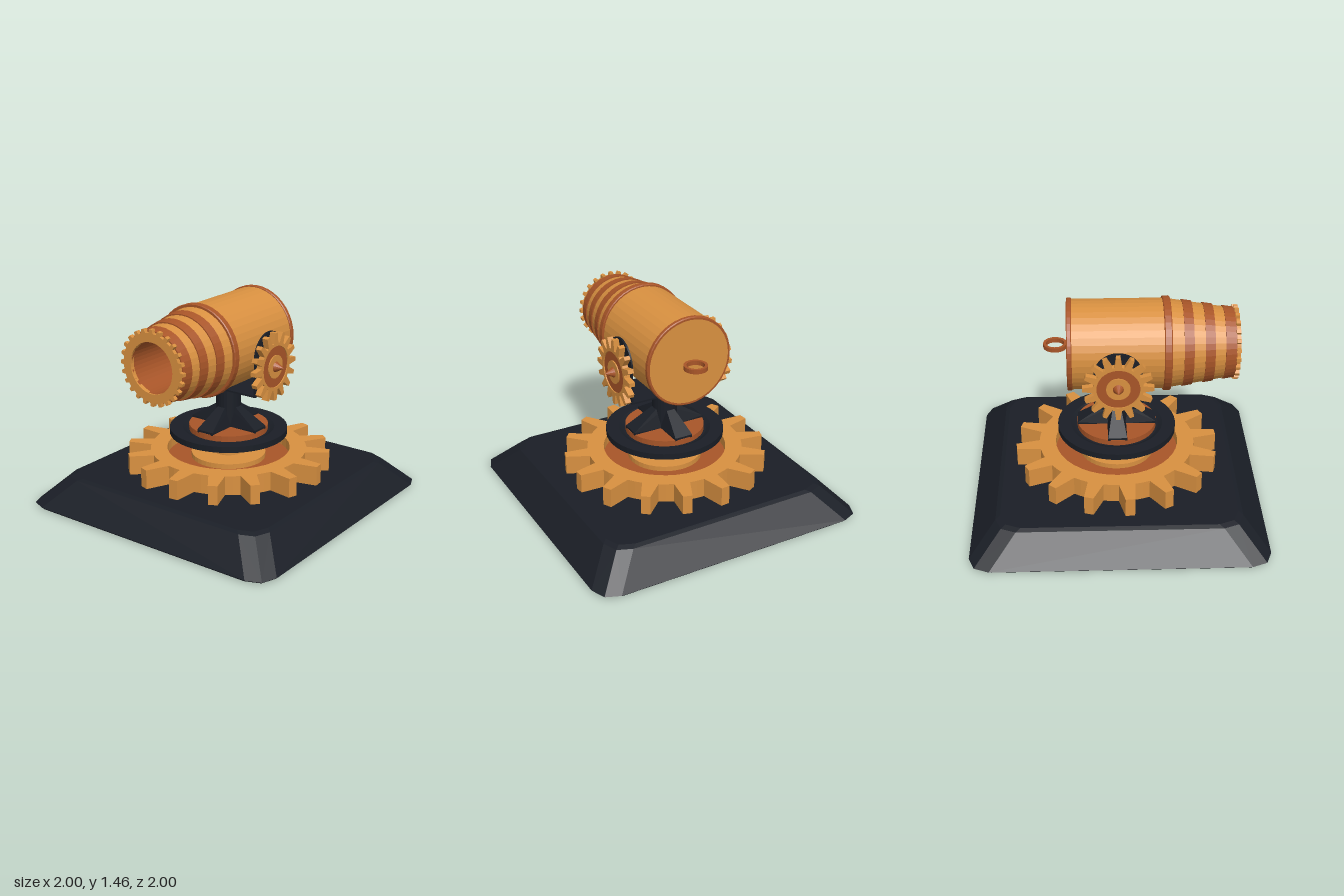
import * as THREE from 'three';
import { ConvexGeometry } from 'three/addons/geometries/ConvexGeometry.js';

const mat = (color, side = THREE.FrontSide) =>
  new THREE.MeshStandardMaterial({ color, side, flatShading: true });
const gold = mat(0xd89040), brown = mat(0xa85528), dark = mat(0x1a1e26);

function add(parent, name, geometry, material) {
  const mesh = new THREE.Mesh(geometry, material);
  mesh.name = name;
  parent.add(mesh);
  return mesh;
}

// Revolved profile of [radius, height] points
const lathe = (pts, seg = 40) =>
  new THREE.LatheGeometry(pts.map(([r, y]) => new THREE.Vector2(r, y)), seg);

// Profile of [radius, x] points revolved about the x axis, listed from rear (+x) to muzzle (-x)
const latheX = (pts, seg = 40) => lathe(pts.map(([r, x]) => [r, -x]), seg).rotateZ(Math.PI / 2);

// Toothed wheel in the xy plane, extruded along +z from 0
function gear({ teeth, outer, root, hole, depth, baseW, tipW, start = 0 }) {
  const shape = new THREE.Shape();
  const step = (Math.PI * 2) / teeth;
  const a0 = Math.asin(baseW / root), a1 = Math.asin(tipW / outer);
  const pts = [];
  for (let i = 0; i < teeth; i++) {
    const a = start + i * step;
    for (const [r, t] of [[root, a - a0], [outer, a - a1], [outer, a + a1], [root, a + a0], [root, a + step / 2]])
      pts.push(new THREE.Vector2(r * Math.cos(t), r * Math.sin(t)));
  }
  shape.setFromPoints(pts);
  shape.holes.push(new THREE.Path().absarc(0, 0, hole, 0, Math.PI * 2, true));
  return new THREE.ExtrudeGeometry(shape, { depth, bevelEnabled: false, curveSegments: 20 });
}

// Sloped square slab with cut corners, skinned from [halfWidth, y] sections
function slab(sections, cut, nick) {
  const points = [];
  for (const [h, y] of sections)
    for (const sx of [-1, 1]) for (const sz of [-1, 1])
      for (const [x, z] of [[h, h - cut], [h - nick, h - nick], [h - cut, h]])
        points.push(new THREE.Vector3(sx * x, y, sz * z));
  return new ConvexGeometry(points);
}

function trunnion() {
  const g = new THREE.Group();
  // Yoke arm with a rounded top
  const s = new THREE.Shape();
  s.moveTo(-0.16, 0.83);
  s.lineTo(0.16, 0.83);
  s.lineTo(0.16, 1.09);
  s.absarc(0, 1.09, 0.16, 0, Math.PI, false);
  s.closePath();
  add(g, 'yokeArm', new THREE.ExtrudeGeometry(s, { depth: 0.012, bevelEnabled: false, curveSegments: 16 }), dark)
    .position.z = 0.325;
  // Side gear, its inset ring, hub and pointed pin
  const wheel = new THREE.Group();
  wheel.name = 'sideGear';
  wheel.position.set(0, 1.015, 0);
  g.add(wheel);
  add(wheel, 'gearRim', gear({ teeth: 16, outer: 0.235, root: 0.165, hole: 0.143, depth: 0.042,
    baseW: 0.024, tipW: 0.014, start: Math.PI / 2 }), gold).position.z = 0.35;
  const disc = (name, r, z0, z1, material) =>
    add(wheel, name, new THREE.CylinderGeometry(r, r, z1 - z0, 32).rotateX(Math.PI / 2), material)
      .position.z = (z0 + z1) / 2;
  disc('gearInset', 0.145, 0.355, 0.384, brown);
  disc('gearHub', 0.08, 0.36, 0.392, gold);
  disc('axle', 0.05, 0.28, 0.36, dark);
  add(wheel, 'pin', new THREE.ConeGeometry(0.037, 0.065, 16).rotateX(Math.PI / 2), brown).position.z = 0.423;
  return g;
}

export function createModel() {
  const model = new THREE.Group();
  model.name = 'cannon';

  // Plinth
  add(model, 'base', slab([[0.985, 0], [1, 0.015], [0.825, 0.2], [0.795, 0.212]], 0.14, 0.04), dark);

  // Big flat gear with recessed floor, hub and neck
  add(model, 'turntableGear', gear({ teeth: 16, outer: 0.708, root: 0.545, hole: 0.43, depth: 0.135,
    baseW: 0.055, tipW: 0.032, start: 0.1 }).rotateX(-Math.PI / 2), gold).position.y = 0.225;
  add(model, 'turntableFloor', lathe([[0, 0.21], [0.432, 0.23], [0.432, 0.29], [0, 0.29]]), brown);
  add(model, 'turntableHub', lathe([[0.26, 0.28], [0.26, 0.325], [0.1, 0.325], [0.1, 0.44]]), gold);

  // Dished collar with inset plate
  add(model, 'collar', lathe([[0, 0.42], [0.1, 0.425], [0.41, 0.47], [0.41, 0.512], [0.32, 0.512],
    [0.29, 0.495], [0, 0.495]], 48), dark);
  add(model, 'collarPlate', lathe([[0.275, 0.49], [0.275, 0.535], [0, 0.535]]), brown);

  // Pedestal with four buttresses
  add(model, 'post', new THREE.CylinderGeometry(0.086, 0.086, 0.31, 24), dark).position.y = 0.675;
  const rib = new ConvexGeometry([-1, 1].flatMap((s) => [
    [0.03, 0.67, 0], [0.03, 0.67, 0.085], [0.065, 0.55, 0.27], [0.065, 0.53, 0.27], [0.065, 0.53, 0],
  ].map(([x, y, z]) => new THREE.Vector3(s * x, y, z))));
  for (let i = 0; i < 4; i++) add(model, 'buttress', rib, dark).rotation.y = (i * Math.PI) / 2;

  // Yoke
  add(model, 'yokeFloor', new THREE.BoxGeometry(0.32, 0.012, 0.67), dark).position.y = 0.834;
  const front = trunnion(), back = trunnion();
  front.name = 'frontTrunnion';
  back.name = 'backTrunnion';
  back.rotation.y = Math.PI;
  model.add(front, back);

  // Barrel, revolved about its own axis
  const barrel = new THREE.Group();
  barrel.name = 'barrel';
  barrel.position.y = 1.138;
  model.add(barrel);
  add(barrel, 'barrelBody', latheX([[0, 0.333], [0.304, 0.333], [0.304, -0.34]]), gold);
  const hoop = (name, r, x0, x1) =>
    add(barrel, name, latheX([[0.295, x1], [r - 0.005, x1], [r, x1 - 0.006], [r, x0 + 0.006],
      [r - 0.005, x0], [0.28, x0]]), brown);
  hoop('rearHoop', 0.313, 0.3, 0.334);
  hoop('middleHoop', 0.318, -0.356, -0.305);
  const taper = (x) => 0.3 + (x + 0.34) * 0.16;
  add(barrel, 'barrelTaper', latheX([[taper(-0.34), -0.34], [taper(-0.785), -0.785]]), gold);
  for (const [x0, x1] of [[-0.785, -0.71], [-0.64, -0.575], [-0.5, -0.435]]) {
    const a = taper(x0), b = taper(x1);
    add(barrel, 'taperBand', latheX([[b - 0.01, x1], [b + 0.008, x1], [a + 0.008, x0], [a - 0.01, x0]]), brown);
  }

  // Muzzle gear and bore
  add(barrel, 'muzzleGear', gear({ teeth: 24, outer: 0.253, root: 0.228, hole: 0.17, depth: 0.03,
    baseW: 0.016, tipW: 0.011 }).rotateY(-Math.PI / 2), gold).position.x = -0.78;
  add(barrel, 'bore', latheX([[0.17, -0.8], [0.17, -0.4], [0, -0.4]]), mat(0xa85528, THREE.DoubleSide));

  // Flat pull ring at the rear
  add(barrel, 'pullRing', lathe([[0.06, -0.015], [0.08, -0.015], [0.08, 0.015], [0.06, 0.015], [0.06, -0.015]], 28), brown)
    .position.set(0.413, -0.003, 0);

  return model;
}
